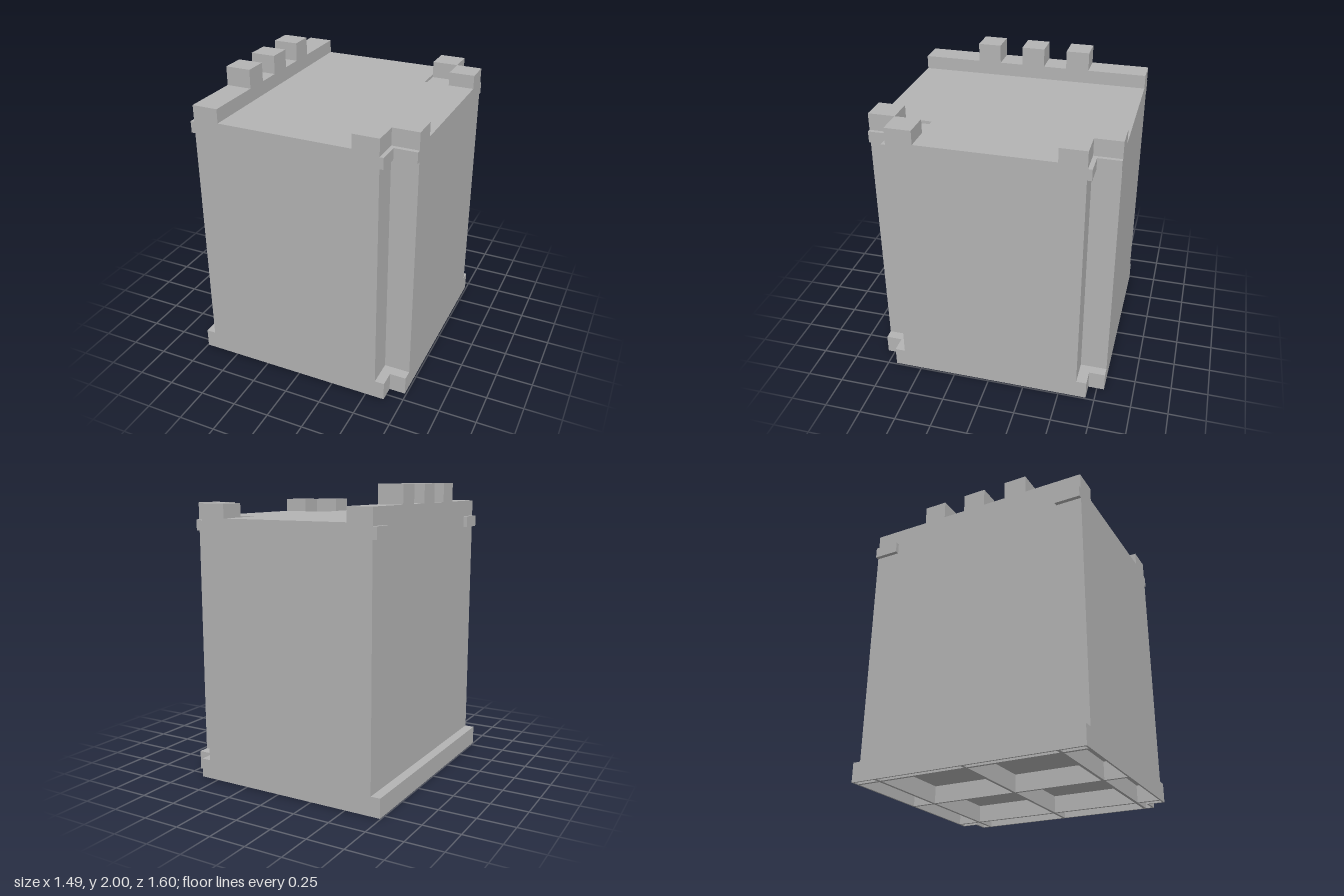
import * as THREE from 'three';

export function createModel() {
  const model = new THREE.Group();
  const grey = new THREE.MeshStandardMaterial({ color: 0xb4b4b4 });
  grey.name = 'plain grey';

  const RIGHT = 0.74, DEPTH = 0.8;

  function add(name, geometry) {
    const mesh = new THREE.Mesh(geometry, grey);
    mesh.name = name;
    model.add(mesh);
  }

  // Box given by its limits on each axis
  function box(name, x0, x1, y0, y1, z0, z1) {
    const g = new THREE.BoxGeometry(x1 - x0, y1 - y0, z1 - z0);
    g.translate((x0 + x1) / 2, (y0 + y1) / 2, (z0 + z1) / 2);
    add(name, g);
  }

  // Rectangular plan with a square notch at both +x corners, drawn inset by t
  function plan(left, nx, nz, t = 0) {
    const l = left + t, r = RIGHT - t, d = DEPTH - t, x = nx - t, z = nz - t;
    return [[l, -d], [x, -d], [x, -z], [r, -z], [r, z], [x, z], [x, d], [l, d]]
      .map(([a, b]) => new THREE.Vector2(a, b));
  }

  // Upright slab from a plan, optionally hollowed
  function slab(name, outline, y0, y1, hole) {
    const shape = new THREE.Shape(outline);
    if (hole) shape.holes.push(new THREE.Path(hole));
    const g = new THREE.ExtrudeGeometry(shape, { depth: y1 - y0, bevelEnabled: false });
    g.rotateX(-Math.PI / 2);
    g.translate(0, y0, 0);
    add(name, g);
  }

  // Stacked walls
  slab('baseSkirt', plan(-0.745, 0.63, 0.69), 0, 0.12, plan(-0.745, 0.63, 0.69, 0.012));
  slab('baseCap', plan(-0.745, 0.63, 0.69), 0.12, 0.13);
  slab('body', plan(-0.68, 0.565, 0.62), 0.13, 1.685);
  slab('cornerLip', plan(-0.68, 0.59, 0.65), 1.685, 1.76);
  slab('roofDeck', plan(-0.68, 0.39, 0.448), 1.76, 1.78);

  // Parapet with three merlons
  box('parapet', -0.68, -0.507, 1.78, 1.873, -DEPTH, DEPTH);
  for (const z of [-0.32, 0, 0.32]) {
    box('merlon', -0.68, -0.507, 1.873, 2, z - 0.08, z + 0.08);
  }

  // Paired corner blocks and side pegs
  for (const s of [-1, 1]) {
    const span = (a, b) => (s > 0 ? [a, b] : [-b, -a]);
    box('cornerBlockEnd', 0.39, 0.565, 1.76, 1.873, ...span(0.622, DEPTH));
    box('cornerBlockSide', 0.565, RIGHT, 1.76, 1.873, ...span(0.448, 0.622));
    box('sidePeg', -0.707, -0.68, 1.685, 1.762, ...span(0.625, DEPTH));
  }

  // Thin ribs under the base
  const T = 0.01;
  for (const x of [-0.685, -0.06, 0.56]) {
    box('crossRib', x - T, x + T, 0, 0.12, -0.79, 0.79);
  }
  for (const z of [-0.625, 0, 0.625]) {
    box('lengthRib', -0.735, 0.73, 0, 0.12, z - T, z + T);
  }

  return model;
}
